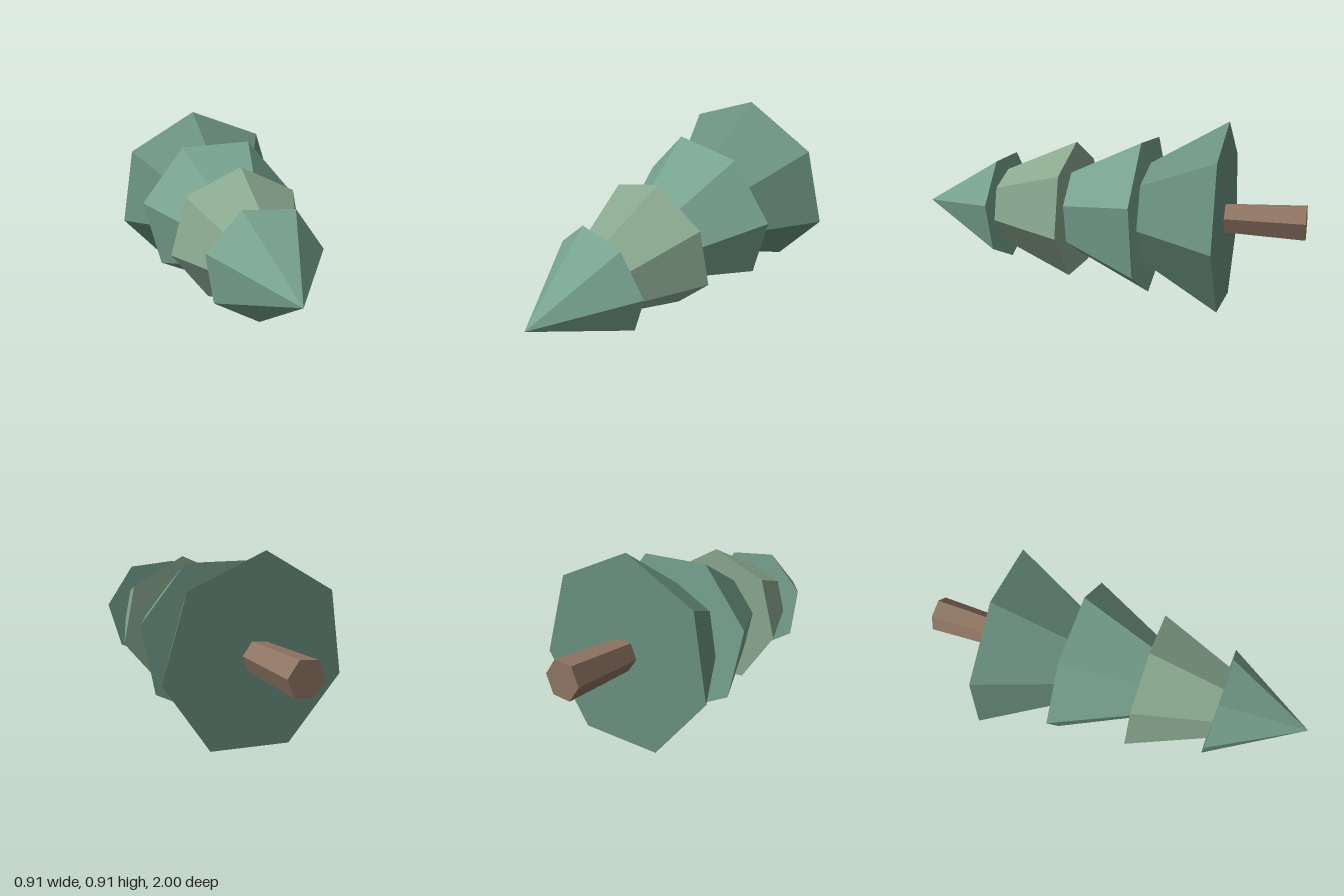
import * as THREE from 'three';

const AXIS_X = -0.009, AXIS_Y = 0.442;

// Faceted frustum lying along z; `angle` is the direction of its first corner in the xy plane.
function frustum(name, { sides, back, front, rBack, rFront, angle, tilt = 0, color }) {
  const start = THREE.MathUtils.degToRad(angle + 90);
  const indexed = new THREE.CylinderGeometry(rFront, rBack, front - back, sides, 1, false, start);
  indexed.rotateX(Math.PI / 2);
  const geometry = indexed.toNonIndexed();
  // Lean the base plane slightly
  const p = geometry.attributes.position;
  for (let i = 0; i < p.count; i++) p.setZ(i, p.getZ(i) + tilt * p.getX(i));
  geometry.computeVertexNormals();
  const mesh = new THREE.Mesh(geometry, new THREE.MeshStandardMaterial({ color, flatShading: true }));
  mesh.name = name;
  mesh.position.set(AXIS_X, AXIS_Y, (back + front) / 2);
  return mesh;
}

export function createModel() {
  const tree = new THREE.Group();
  tree.name = 'lyingTree';

  // Trunk, flaring towards its foot
  tree.add(frustum('trunk', {
    sides: 6, back: -1, front: -0.61, rBack: 0.092, rFront: 0.077, angle: 7, color: 0x8f7563,
  }));

  // Foliage tiers from the trunk to the tip, each twisted against the last
  const tiers = [
    { back: -0.617, front: -0.225, rBack: 0.47, rFront: 0.25, angle: 94, tilt: -0.005, color: 0x6b9181 },
    { back: -0.232, front: 0.16, rBack: 0.411, rFront: 0.218, angle: -88.7, tilt: 0.013, color: 0x78a391 },
    { back: 0.15, front: 0.545, rBack: 0.349, rFront: 0.187, angle: 88.5, tilt: 0.011, color: 0x8aa88f },
    { back: 0.535, front: 1, rBack: 0.287, rFront: 0, angle: 111.7, tilt: 0.018, color: 0x78a391 },
  ];
  tiers.forEach((tier, i) => tree.add(frustum(`foliageTier${i + 1}`, { sides: 7, ...tier })));

  return tree;
}
